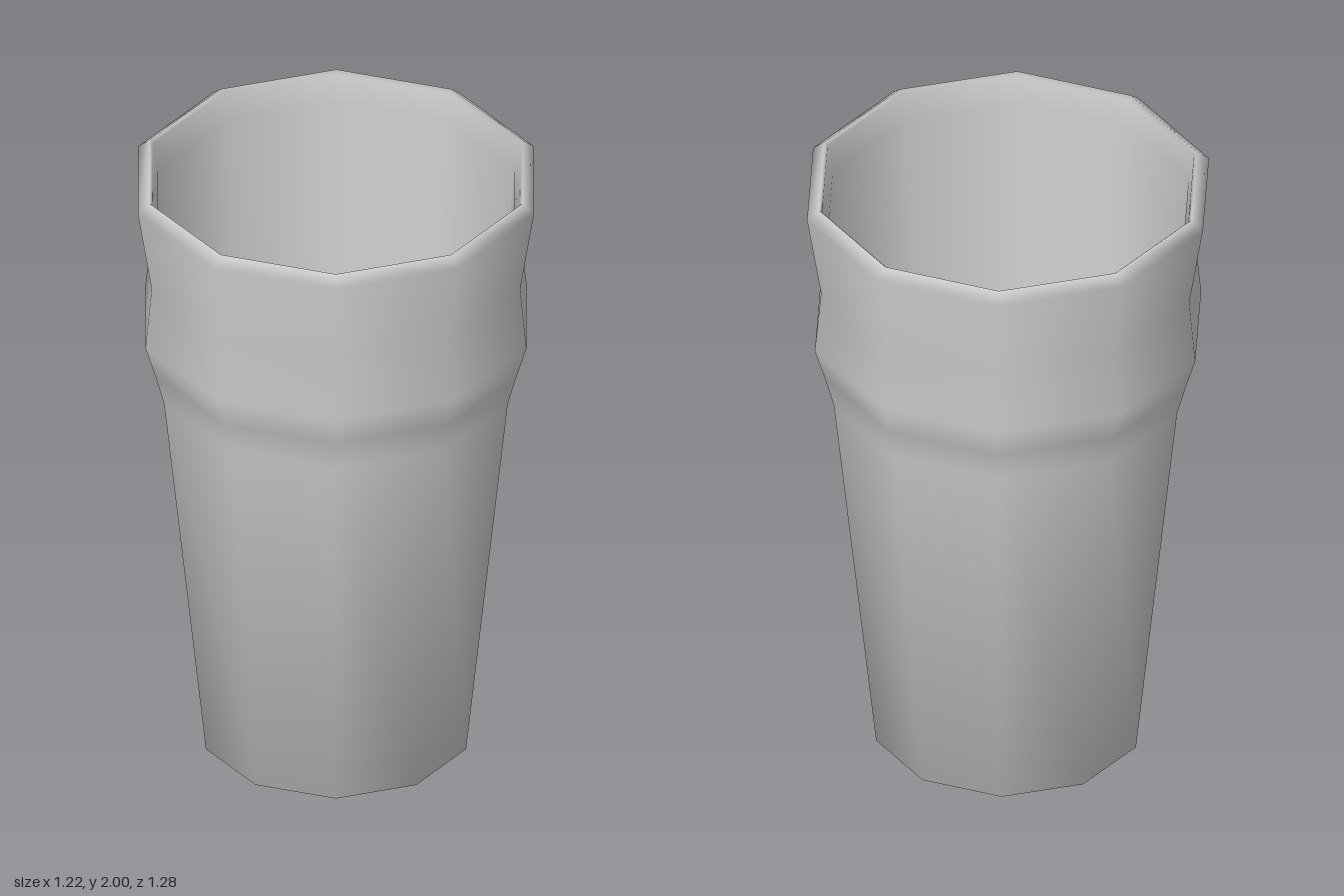
import * as THREE from 'three';

// Ten-sided drinking glass, smooth shaded, turned from one closed profile
export function createModel() {
  const group = new THREE.Group();
  group.name = 'pintGlass';

  // [radius, height] from the underside, up the outside, over the rim, down the inside
  const profile = [
    // underside and tapered body
    [0, 0], [0.42, 0], [0.555, 1.27],
    // bulge, waist and flare
    [0.585, 1.38], [0.615, 1.48], [0.595, 1.69], [0.64, 1.97],
    // rim
    [0.602, 2], [0.592, 1.99], [0.575, 1.9],
    // inner wall and floor
    [0.52, 1.27], [0.39, 0.06], [0, 0.06],
  ].map(([r, y]) => new THREE.Vector2(r, y));

  const glass = new THREE.Mesh(
    new THREE.LatheGeometry(profile, 10),
    new THREE.MeshStandardMaterial({ color: 0xcccccc })
  );
  glass.name = 'glassBody';
  group.add(glass);
  return group;
}
